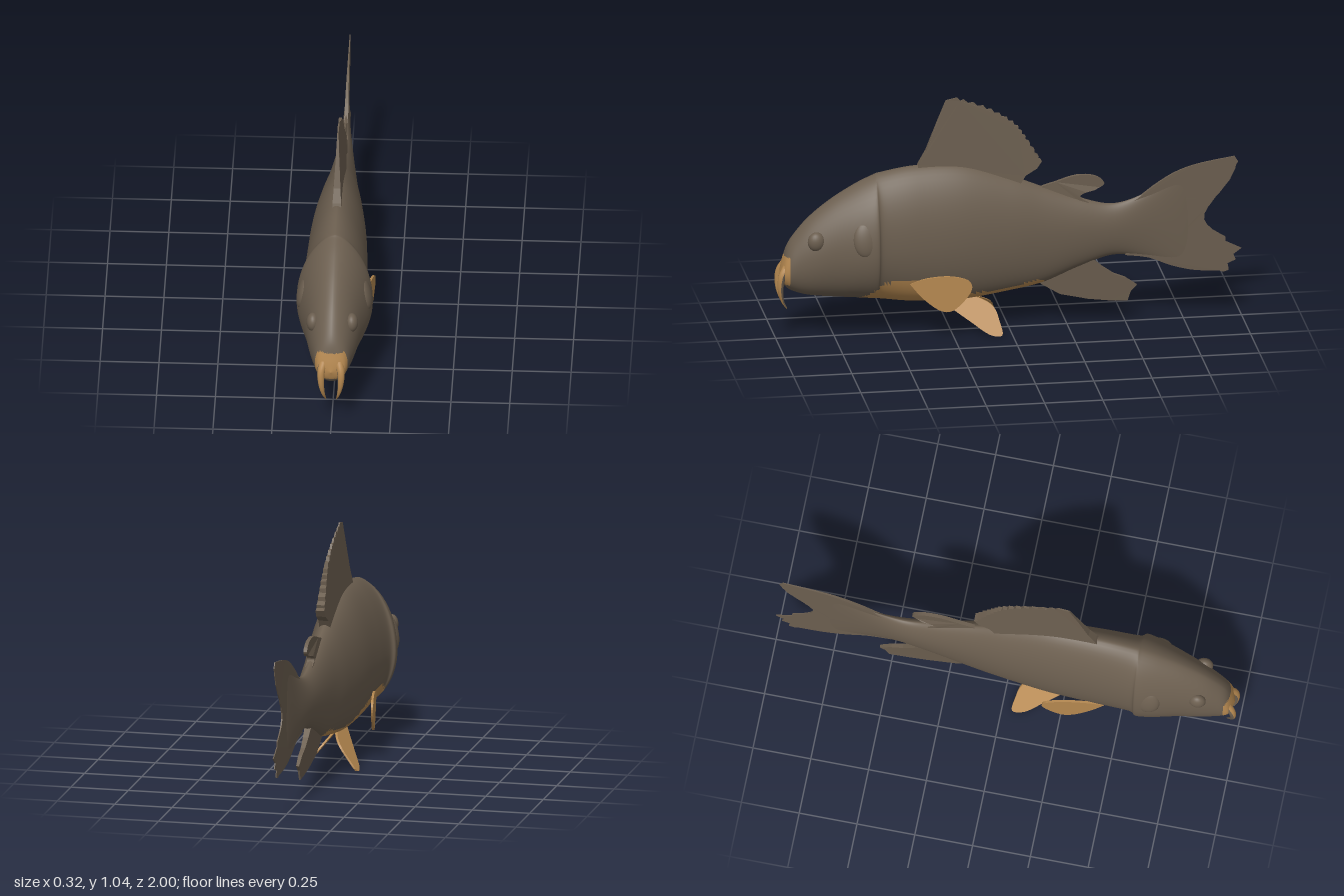
import * as THREE from 'three';

const skin = new THREE.MeshStandardMaterial({ color: 0x6b5e4f });
skin.name = 'greyBrown';
const tan = new THREE.MeshStandardMaterial({ color: 0xb58850 });
tan.name = 'tan';

// Sort triangles into two material groups: skin first, then tan where test is true
function paint(geo, test) {
  const p = geo.attributes.position, src = geo.index.array, dark = [], light = [];
  const c = new THREE.Vector3(), v = new THREE.Vector3();
  for (let i = 0; i < src.length; i += 3) {
    const tri = [src[i], src[i + 1], src[i + 2]];
    c.set(0, 0, 0);
    tri.forEach(k => c.add(v.fromBufferAttribute(p, k)));
    c.divideScalar(3);
    (test(c, tri[0]) ? light : dark).push(...tri);
  }
  geo.setIndex([...dark, ...light]);
  geo.clearGroups();
  geo.addGroup(0, dark.length, 0);
  geo.addGroup(dark.length, light.length, 1);
  return geo;
}

// Body cross-sections: z, bottom, top, half width, height of widest point
const sections = [
  [0.985, 0.29, 0.292, 0, 0.291],
  [0.972, 0.25, 0.35, 0.05, 0.30],
  [0.95, 0.225, 0.42, 0.068, 0.31],
  [0.91, 0.205, 0.48, 0.082, 0.33],
  [0.85, 0.19, 0.545, 0.1, 0.35],
  [0.76, 0.18, 0.615, 0.122, 0.38],
  [0.66, 0.172, 0.675, 0.15, 0.39],
  [0.585, 0.165, 0.71, 0.162, 0.4],
  [0.55, 0.16, 0.722, 0.142, 0.4],
  [0.4, 0.14, 0.745, 0.132, 0.41],
  [0.2, 0.138, 0.74, 0.12, 0.42],
  [0, 0.165, 0.68, 0.096, 0.42],
  [-0.15, 0.195, 0.62, 0.073, 0.42],
  [-0.3, 0.255, 0.565, 0.055, 0.42],
  [-0.45, 0.3, 0.53, 0.038, 0.42],
  [-0.6, 0.28, 0.575, 0.02, 0.43],
  [-0.74, 0.235, 0.655, 0.008, 0.44],
  [-0.8, 0.22, 0.675, 0, 0.44],
];

// Upper edge of the tan belly as [z, y]
const bellyEdge = [[0.68, 0.165], [0.62, 0.2], [0.55, 0.26], [0.47, 0.27], [0.36, 0.25],
  [0.24, 0.2], [0.16, 0.175], [0, 0.19], [-0.13, 0.22], [-0.17, 0.18]];
function bellyHeight(z) {
  for (let i = 1; i < bellyEdge.length; i++) {
    const [z0, y0] = bellyEdge[i - 1], [z1, y1] = bellyEdge[i];
    if (z <= z0 && z >= z1) return y0 + (y1 - y0) * (z0 - z) / (z0 - z1);
  }
  return -1;
}

function bodyGeometry() {
  const rings = 136, sides = 56, pos = [], idx = [];
  const a = new THREE.CatmullRomCurve3(sections.map(s => new THREE.Vector3(s[0], s[1], s[2])), false, 'catmullrom');
  const b = new THREE.CatmullRomCurve3(sections.map(s => new THREE.Vector3(s[3], s[4], 0)), false, 'catmullrom');
  for (let i = 0; i <= rings; i++) {
    const { x: z, y: bot, z: top } = a.getPoint(i / rings);
    const { x: w, y: mid } = b.getPoint(i / rings);
    for (let j = 0; j < sides; j++) {
      const t = j / sides * Math.PI * 2, s = Math.sin(t), c = Math.cos(t);
      const x = Math.max(w, 0) * Math.sign(c) * Math.abs(c) ** (s > 0 ? 1.2 : 1);
      pos.push(x, mid + s * (s > 0 ? top - mid : mid - bot), z);
      if (i < rings) {
        const k = i * sides + j, n = i * sides + (j + 1) % sides;
        idx.push(k, k + sides, n, n, k + sides, n + sides);
      }
    }
  }
  const geo = new THREE.BufferGeometry();
  geo.setAttribute('position', new THREE.Float32BufferAttribute(pos, 3));
  geo.setIndex(idx);
  geo.computeVertexNormals();
  return paint(geo, c => c.y < bellyHeight(c.z) || (c.z > 0.945 && c.y > 0.25 && c.y < 0.375));
}

// Thin fin from a [z, y] outline; half(z, y) is its half thickness, mid(z, y) its x position
function finGeometry(outline, half, mid = () => 0) {
  const shape = new THREE.Shape(outline.map(([z, y]) => new THREE.Vector2(z, y)));
  const geo = new THREE.ExtrudeGeometry(shape, { depth: 1, bevelEnabled: false });
  const p = geo.attributes.position;
  for (let i = 0; i < p.count; i++) {
    const z = p.getX(i), y = p.getY(i), d = p.getZ(i);
    p.setXYZ(i, mid(z, y) + (1 - 2 * d) * half(z, y), y, z);
  }
  geo.computeVertexNormals();
  return geo;
}

// Smooth outline through a few points
const smooth = (pts, n) =>
  new THREE.SplineCurve(pts.map(p => new THREE.Vector2(...p))).getPoints(n).map(p => [p.x, p.y]);

// Ragged edge: every other point pulled towards a centre
const ragged = (pts, n, [cz, cy], k) => smooth(pts, n).map(([z, y], i) =>
  i % 2 ? [cz + (z - cz) * k, cy + (y - cy) * k] : [z, y]);

// Tapered, hooked barbel, tan on its front
function barbelGeometry(side) {
  const curve = new THREE.CatmullRomCurve3([[0.032, 0.33, 0.955], [0.042, 0.29, 0.978], [0.041, 0.23, 0.985],
    [0.032, 0.175, 0.975], [0.022, 0.138, 0.955]].map(([x, y, z]) => new THREE.Vector3(side * x, y, z)));
  const n = 20, m = 12, geo = new THREE.TubeGeometry(curve, n, 0.018, m);
  const p = geo.attributes.position, v = new THREE.Vector3();
  for (let i = 0; i < p.count; i++) {
    const t = Math.floor(i / (m + 1)) / n, c = curve.getPointAt(t);
    v.fromBufferAttribute(p, i).sub(c).multiplyScalar(1 - 0.9 * t ** 1.6).add(c);
    p.setXYZ(i, v.x, v.y, v.z);
  }
  geo.computeVertexNormals();
  return paint(geo, (c, k) => geo.attributes.normal.getZ(k) > 0.2);
}

export function createModel() {
  const fish = new THREE.Group();
  fish.name = 'fish';
  const add = (name, geo, mat) => {
    const mesh = new THREE.Mesh(geo, mat);
    mesh.name = name;
    fish.add(mesh);
    return mesh;
  };

  add('body', bodyGeometry(), [skin, tan]);

  // Fins on the centre line
  const dorsal = [[0.4, 0.72], [0.385, 0.755], [0.355, 0.81], [0.31, 0.93], [0.27, 1.03],
    ...ragged([[0.22, 1.04], [0.09, 0.99], [-0.02, 0.92], [-0.08, 0.84], [-0.14, 0.74]], 28, [0.2, 0.72], 0.965),
    [-0.12, 0.71], [-0.07, 0.68], [-0.045, 0.64], [0, 0.62], [0.2, 0.68]];
  add('dorsalFin', finGeometry(dorsal, (z, y) => Math.max(0.003, 0.02 * (1.06 - y) / 0.34)), skin);

  const adipose = smooth([[-0.1, 0.6], [-0.14, 0.622], [-0.2, 0.64], [-0.29, 0.665], [-0.37, 0.658], [-0.41, 0.625],
    [-0.38, 0.602], [-0.32, 0.585], [-0.305, 0.565], [-0.34, 0.54], [-0.2, 0.55]], 40);
  add('adiposeFin', finGeometry(adipose, (z, y) => y > 0.6 ? 0.008 : 0.016), skin);

  const anal = [[-0.1, 0.22], [-0.14, 0.185], [-0.22, 0.135], [-0.34, 0.107], [-0.43, 0.095], [-0.51, 0.09], [-0.525, 0.135],
    [-0.55, 0.16], [-0.5, 0.195], [-0.45, 0.215], [-0.4, 0.25], [-0.36, 0.285], [-0.3, 0.31]];
  add('analFin', finGeometry(anal, (z, y) => 0.003 + 0.06 * Math.max(0, y - 0.1)), skin);

  const tail = [
    ...smooth([[-0.5, 0.525], [-0.55, 0.545], [-0.63, 0.605], [-0.72, 0.658], [-0.82, 0.69], [-0.97, 0.715]], 16),
    ...ragged([[-0.985, 0.69], [-0.95, 0.61], [-0.87, 0.51], [-0.84, 0.45], [-0.865, 0.4], [-0.93, 0.355]], 20, [-0.7, 0.45], 0.985),
    [-0.93, 0.335], [-1, 0.3], [-0.965, 0.275], [-0.975, 0.25], [-0.94, 0.235], [-0.945, 0.205], [-0.92, 0.197],
    ...smooth([[-0.9, 0.205], [-0.8, 0.212], [-0.7, 0.238], [-0.6, 0.28], [-0.5, 0.297]], 12)];
  add('tailFin', finGeometry(tail, z => 0.002 + 0.03 * Math.max(0, z + 1) ** 1.8), skin);

  // Paired parts
  const pectoral = smooth([[0.44, 0.25], [0.38, 0.272], [0.28, 0.285], [0.2, 0.27], [0.18, 0.235], [0.21, 0.18],
    [0.265, 0.13], [0.32, 0.135], [0.39, 0.19], [0.44, 0.25]], 32).slice(0, -1);
  const pelvic = smooth([[0.3, 0.14], [0.2, 0.15], [0.13, 0.14], [0.07, 0.105], [0.05, 0.05], [0.045, 0.003],
    [0.1, 0.008], [0.18, 0.06], [0.3, 0.14]], 32).slice(0, -1);
  for (const [side, label] of [[1, 'left'], [-1, 'right']]) {
    add(label + 'PectoralFin', finGeometry(pectoral, () => 0.005,
      z => side * (0.105 + 0.18 * (0.44 - z))), tan);
    add(label + 'PelvicFin', finGeometry(pelvic, () => 0.005,
      (z, y) => side * 0.118 * Math.max(0, (0.15 - y) / 0.15)), tan);
    add(label + 'Barbel', barbelGeometry(side), [skin, tan]);

    const eye = add(label + 'Eye', new THREE.SphereGeometry(1, 24, 16), skin);
    eye.scale.set(0.028, 0.042, 0.037);
    eye.position.set(side * 0.082, 0.452, 0.838);

    const gill = add(label + 'GillBump', new THREE.SphereGeometry(1, 28, 18), skin);
    gill.scale.set(0.026, 0.078, 0.055);
    gill.position.set(side * 0.131, 0.468, 0.632);
    gill.rotation.z = side * 0.22;
  }
  return fish;
}
